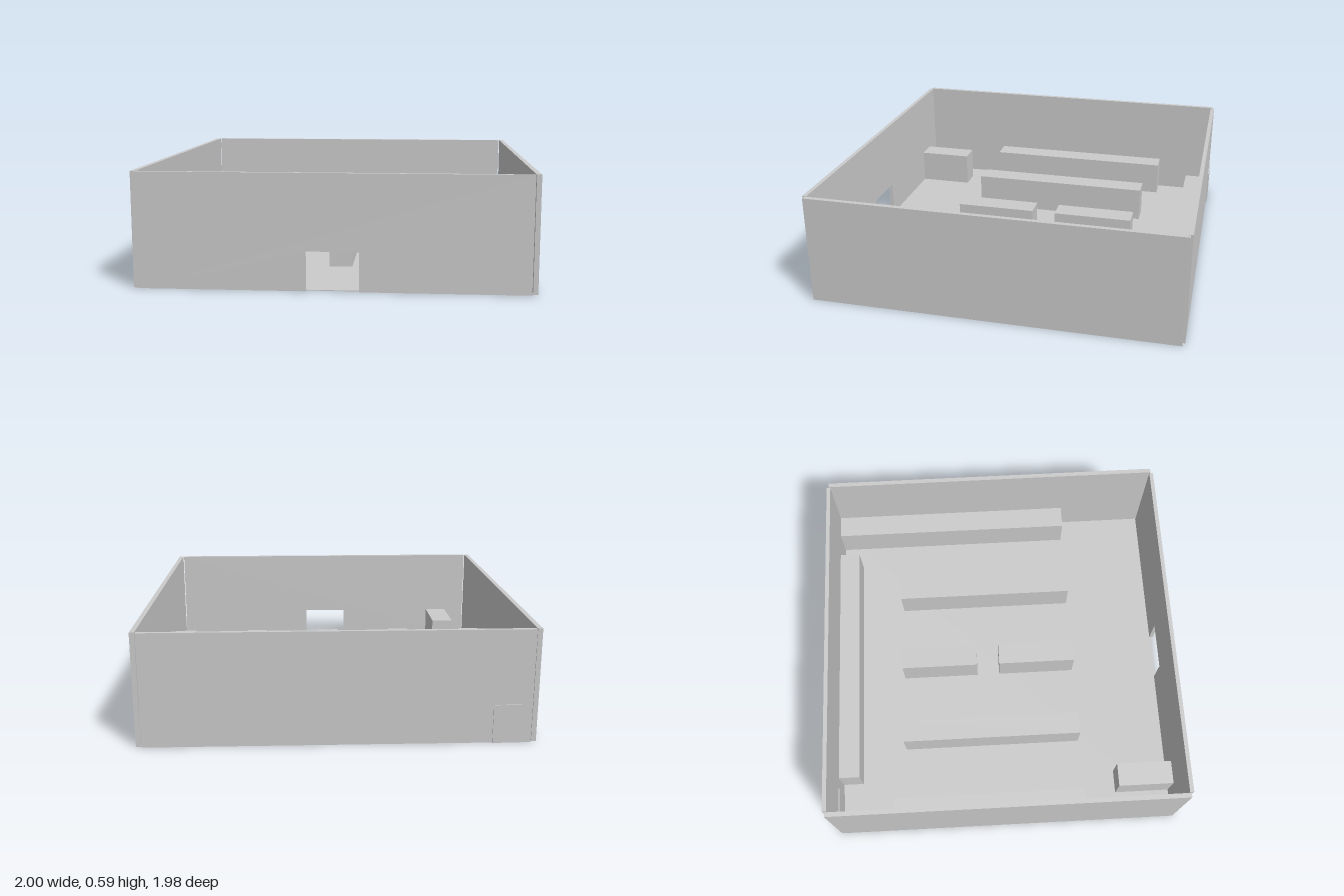
import * as THREE from 'three';

const material = new THREE.MeshStandardMaterial({ color: 0xcccccc, flatShading: true });

export function createModel() {
  const model = new THREE.Group();

  // Box given by its extents along x, y and z
  const block = (name, [x0, x1], [y0, y1], [z0, z1]) => {
    const mesh = new THREE.Mesh(new THREE.BoxGeometry(x1 - x0, y1 - y0, z1 - z0), material);
    mesh.position.set((x0 + x1) / 2, (y0 + y1) / 2, (z0 + z1) / 2);
    mesh.name = name;
    model.add(mesh);
  };

  const wallHeight = 0.587;
  const unitHeight = 0.2;

  block('floor', [-0.975, 0.975], [0, 0.004], [-0.97, 0.972]);

  // Side and back walls
  block('leftWall', [0.975, 1], [0, wallHeight], [-0.97, 0.974]);
  block('rightWall', [-1, -0.975], [0, wallHeight], [-0.97, 0.974]);
  block('backWall', [-0.97, 0.97], [0, wallHeight], [-0.982, -0.96]);

  // Front wall with an open doorway reaching the ground
  const outline = new THREE.Shape([
    [-0.97, 0], [-0.133, 0], [-0.133, unitHeight], [0.13, unitHeight],
    [0.13, 0], [0.97, 0], [0.97, wallHeight], [-0.97, wallHeight],
  ].map(([x, y]) => new THREE.Vector2(x, y)));
  const frontWall = new THREE.Mesh(
    new THREE.ExtrudeGeometry(outline, { depth: 0.022, bevelEnabled: false }), material);
  frontWall.position.z = 0.966;
  frontWall.name = 'frontWall';
  model.add(frontWall);

  // Back door, slightly proud of both faces of the back wall
  block('backDoor', [-0.913, -0.775], [0, unitHeight], [-0.988, -0.955]);

  // Wall shelves, free-standing shelves and counter: x range, z range
  const units = [
    ['rightWallShelf', [-0.975, -0.848], [-0.647, 0.455]],
    ['leftWallShelf', [0.845, 0.975], [-0.96, 0.455]],
    ['backWallShelf', [-0.715, 0.712], [-0.96, -0.842]],
    ['rightAisleShelf', [-0.519, -0.394], [-0.583, 0.455]],
    ['leftAisleShelf', [0.39, 0.515], [-0.583, 0.455]],
    ['centreBackShelf', [-0.065, 0.06], [-0.583, -0.132]],
    ['centreFrontShelf', [-0.065, 0.06], [0.002, 0.455]],
    ['counter', [-0.845, -0.715], [0.652, 0.966]],
  ];
  for (const [name, x, z] of units) block(name, x, [0.002, unitHeight], z);

  return model;
}
